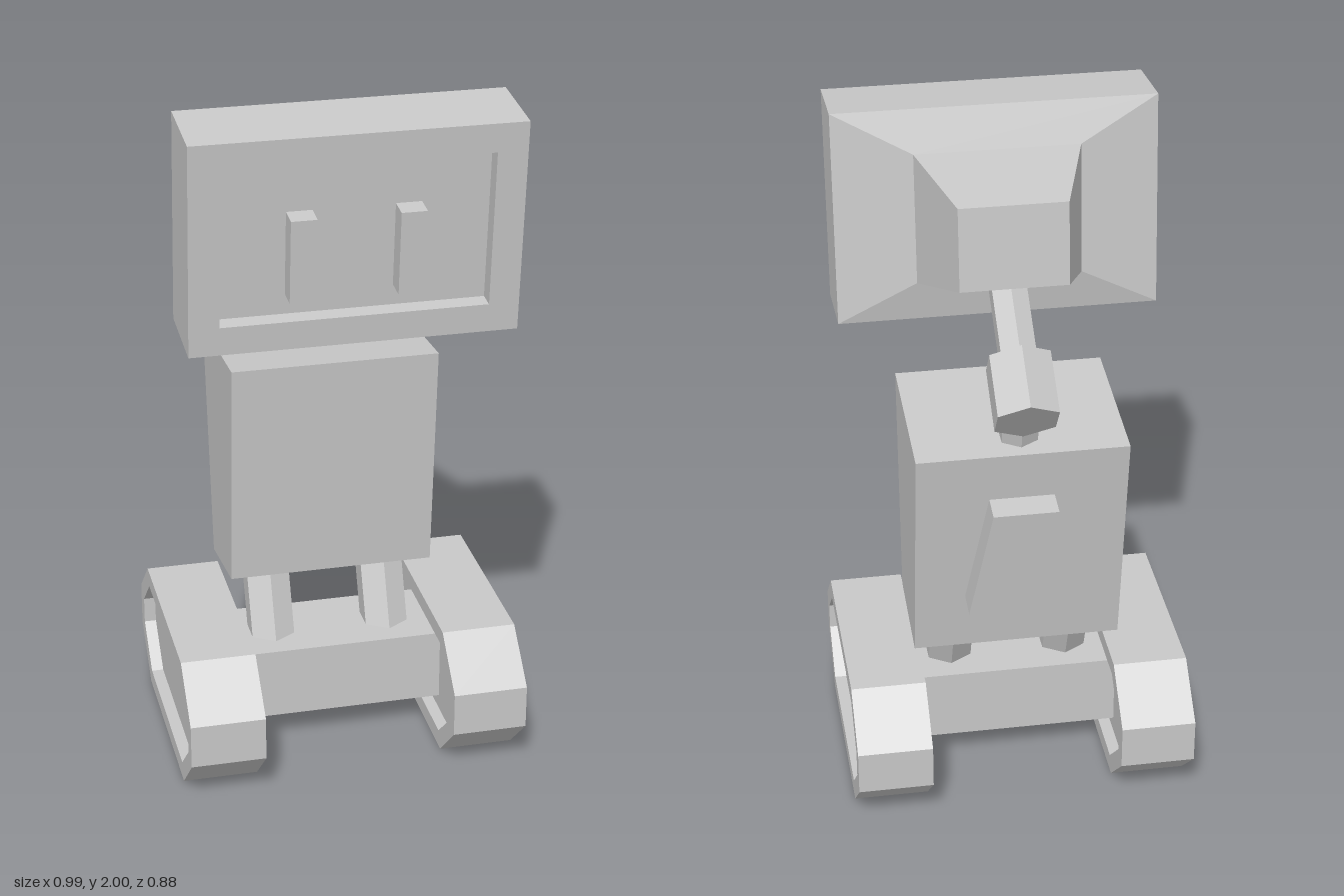
import * as THREE from 'three';

export function createModel() {
  const model = new THREE.Group();
  model.name = 'robot';
  const grey = new THREE.MeshStandardMaterial({ color: 0xc8c8c8, flatShading: true });
  grey.name = 'plain grey';

  const add = (parent, name, geometry, x = 0, y = 0, z = 0) => {
    const mesh = new THREE.Mesh(geometry, grey);
    mesh.name = name;
    mesh.position.set(x, y, z);
    parent.add(mesh);
    return mesh;
  };

  // Six-sided rod in a plane of constant x, between two [z, y] points
  const hexRod = (name, x, [z0, y0], [z1, y1], radius) => {
    const dz = z1 - z0, dy = y1 - y0;
    const geometry = new THREE.CylinderGeometry(radius, radius, Math.hypot(dz, dy), 6);
    const rod = add(model, name, geometry, x, (y0 + y1) / 2, (z0 + z1) / 2);
    rod.rotation.x = Math.atan2(dz, dy);
  };

  // Side profile of [z, y] points extruded across x, with an optional hole
  const sideProfile = (points, width, hole) => {
    const toVectors = (list) => list.map(([z, y]) => new THREE.Vector2(z, y));
    const shape = new THREE.Shape(toVectors(points));
    if (hole) shape.holes.push(new THREE.Path(toVectors(hole)));
    return new THREE.ExtrudeGeometry(shape, { depth: width, bevelEnabled: false })
      .translate(0, 0, -width / 2).rotateY(-Math.PI / 2);
  };

  // Tapered block along z: half width and half height at the front and back
  const taperedBlock = (front, back, zFront, zBack) => {
    const geometry = new THREE.BoxGeometry(2, 2, 2);
    const p = geometry.attributes.position;
    for (let i = 0; i < p.count; i++) {
      const isFront = p.getZ(i) > 0;
      const [w, h] = isFront ? front : back;
      p.setXYZ(i, p.getX(i) * w, p.getY(i) * h, isFront ? zFront : zBack);
    }
    geometry.computeVertexNormals();
    return geometry;
  };

  const rectangle = (Type, w, h) => new Type([
    new THREE.Vector2(-w, -h), new THREE.Vector2(w, -h),
    new THREE.Vector2(w, h), new THREE.Vector2(-w, h),
  ]);

  // Treads with a recess on both sides, and legs
  const treadOutline = [[0.295, 0], [0.437, 0.135], [0.437, 0.265], [0.295, 0.397],
    [-0.285, 0.397], [-0.43, 0.265], [-0.43, 0.135], [-0.285, 0]];
  const recessOutline = [[0.272, 0.05], [0.392, 0.16], [0.392, 0.24], [0.272, 0.348],
    [-0.262, 0.348], [-0.38, 0.24], [-0.38, 0.16], [-0.262, 0.05]];
  for (const [side, s] of [['left', 1], ['right', -1]]) {
    add(model, side + 'Tread', sideProfile(treadOutline, 0.217, recessOutline), s * 0.3865);
    add(model, side + 'TreadHub', sideProfile(recessOutline, 0.147), s * 0.3865);
    hexRod(side + 'Leg', s * 0.173, [0.02, 0.27], [-0.1, 0.56], 0.073);
  }
  add(model, 'axleBar', new THREE.BoxGeometry(0.66, 0.215, 0.28), 0, 0.2, 0.005);

  // Torso, wider from front to back at the top
  add(model, 'torso', sideProfile(
    [[0.06, 0.52], [0.115, 1.205], [-0.33, 1.163], [-0.22, 0.475]].reverse(), 0.6));

  // Back panel, narrower at the top
  const panel = new THREE.BoxGeometry(1, 0.355, 0.08);
  const pp = panel.attributes.position;
  for (let i = 0; i < pp.count; i++) {
    pp.setX(i, pp.getX(i) * (pp.getY(i) > 0 ? 0.185 : 0.31));
  }
  panel.computeVertexNormals();
  add(model, 'backPanel', panel, 0, 0.832, -0.316).rotation.x = -0.15;

  // Bent neck
  hexRod('lowerNeck', 0, [-0.222, 1.12], [-0.275, 1.34], 0.059);
  hexRod('neckJoint', 0, [-0.381, 1.296], [-0.233, 1.407], 0.098);
  hexRod('upperNeck', 0, [-0.26, 1.387], [0.02, 1.597], 0.057);

  // Head, tipped slightly downwards, with its origin at the centre of the front face
  const head = new THREE.Group();
  head.name = 'head';
  head.position.set(0, 1.6675, 0.3685);
  head.rotation.x = 0.0925;
  model.add(head);

  const recess = 0.05;
  const frame = rectangle(THREE.Shape, 0.459, 0.309);
  frame.holes.push(rectangle(THREE.Path, 0.374, 0.226));
  add(head, 'screenFrame',
    new THREE.ExtrudeGeometry(frame, { depth: recess, bevelEnabled: false }), 0, 0, -recess);
  add(head, 'headShell', taperedBlock([0.459, 0.309], [0.459, 0.309], -recess, -0.233));
  add(head, 'headSlope', taperedBlock([0.459, 0.309], [0.235, 0.189], -0.233, -0.267));
  add(head, 'headBack', taperedBlock([0.235, 0.189], [0.152, 0.12], -0.267, -0.536));
  for (const [side, s] of [['left', 1], ['right', -1]]) {
    add(head, side + 'Eye', new THREE.BoxGeometry(0.072, 0.243, 0.072), s * 0.15, -0.044, -0.024);
  }
  return model;
}
